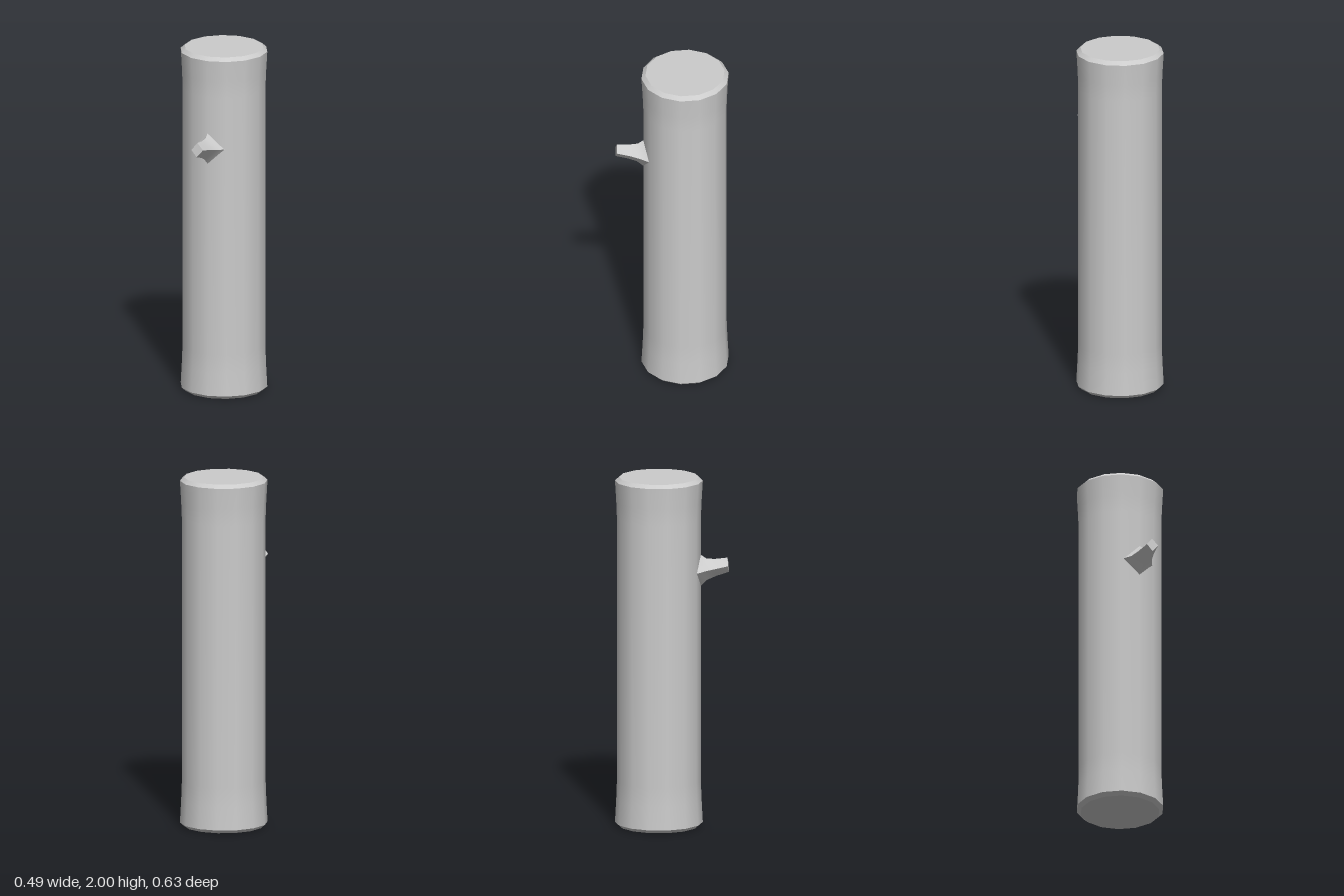
import * as THREE from 'three';
import { toCreasedNormals } from 'three/addons/utils/BufferGeometryUtils.js';

const SIDES = 14;

// Surface of revolution around the trunk axis, from [radius, height] pairs listed bottom to top
function ring(name, profile, material) {
  const points = profile.map(([r, y]) => new THREE.Vector2(r, y));
  const mesh = new THREE.Mesh(new THREE.LatheGeometry(points, SIDES, Math.PI / 2), material);
  mesh.name = name;
  return mesh;
}

// Flat disc closing one end of the trunk
function endDisc(name, radius, y, up, material) {
  const mesh = new THREE.Mesh(new THREE.CircleGeometry(radius, SIDES), material);
  mesh.name = name;
  mesh.rotation.x = up ? -Math.PI / 2 : Math.PI / 2;
  mesh.position.y = y;
  return mesh;
}

// Four-sided stub, lofted through diamond sections (left, bottom, right, top corners) and capped
function loft(sections) {
  const positions = sections.flat(2);
  const index = [];
  for (let s = 0; s < sections.length - 1; s++) {
    for (let k = 0; k < 4; k++) {
      const a = s * 4 + k, b = s * 4 + (k + 1) % 4;
      index.push(a, b, b + 4, a, b + 4, a + 4);
    }
  }
  const e = (sections.length - 1) * 4;
  index.push(e, e + 1, e + 2, e, e + 2, e + 3);
  const geometry = new THREE.BufferGeometry();
  geometry.setAttribute('position', new THREE.Float32BufferAttribute(positions, 3));
  geometry.setIndex(index);
  return toCreasedNormals(geometry, 0.6);
}

export function createModel() {
  const material = new THREE.MeshStandardMaterial({ color: 0xcccccc });
  const model = new THREE.Group();
  model.name = 'log';

  // Trunk, gently flared at both ends, with bevelled rims
  const trunk = new THREE.Group();
  trunk.name = 'trunk';
  trunk.position.z = -0.075;
  trunk.add(
    ring('bark', [[0.247, 0.02], [0.24, 0.15], [0.236, 0.26], [0.236, 1.76], [0.24, 1.86], [0.247, 1.98]], material),
    ring('topBevel', [[0.247, 1.98], [0.224, 2]], material),
    ring('bottomBevel', [[0.224, 0], [0.247, 0.02]], material),
    endDisc('topCut', 0.224, 2, true, material),
    endDisc('bottomCut', 0.224, 0, false, material),
  );
  model.add(trunk);

  // Broken branch, wide at the trunk and angled to the left and slightly up
  const branch = new THREE.Mesh(loft([
    [[-0.05, 1.465, 0.14], [0.05, 1.365, 0.14], [0.145, 1.46, 0.1], [0.05, 1.56, 0.14]],
    [[-0.035, 1.465, 0.165], [0.052, 1.38, 0.16], [0.132, 1.465, 0.125], [0.052, 1.55, 0.16]],
    [[-0.004, 1.47, 0.19], [0.059, 1.41, 0.19], [0.12, 1.47, 0.165], [0.058, 1.533, 0.185]],
    [[0.022, 1.48, 0.24], [0.069, 1.433, 0.24], [0.116, 1.483, 0.22], [0.068, 1.53, 0.23]],
    [[0.052, 1.495, 0.313], [0.085, 1.457, 0.31], [0.121, 1.5, 0.298], [0.085, 1.538, 0.301]],
  ]), material);
  branch.name = 'branchStub';
  model.add(branch);

  return model;
}
